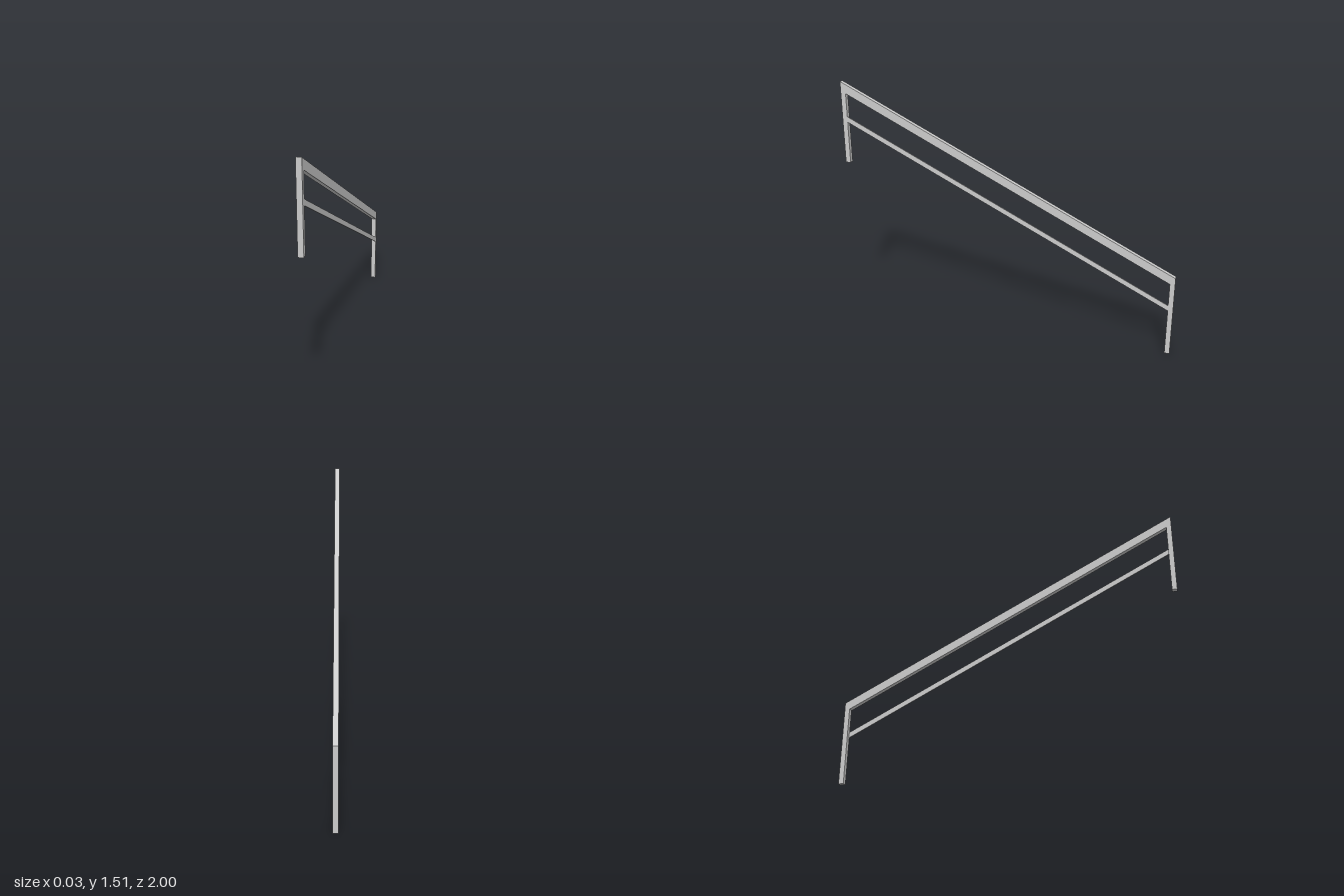
import * as THREE from 'three';

const SLOPE = 0.5075;
const HALF = 1;        // half length along z
const INNER = 0.97;    // inner face of the posts
const topY = (z) => 1.0025 + SLOPE * z; // upper edge of the handrail

const material = new THREE.MeshStandardMaterial({ color: 0xcccccc, flatShading: true });

// Extrudes a side profile of [z, y] points from x0 to x1
function sidePanel(name, points, x0, x1) {
  const shape = new THREE.Shape(points.map(([z, y]) => new THREE.Vector2(-z, y)));
  const geometry = new THREE.ExtrudeGeometry(shape, { depth: x1 - x0, bevelEnabled: false });
  geometry.rotateY(Math.PI / 2);
  geometry.translate(x0, 0, 0);
  const mesh = new THREE.Mesh(geometry, material);
  mesh.name = name;
  return mesh;
}

export function createModel() {
  const group = new THREE.Group();
  group.name = 'stairRailing';

  // Two posts joined by the sloping handrail in one continuous frame
  const railDepth = 0.055;
  const upperFoot = 1.017;
  group.add(sidePanel('postsAndHandrail', [
    [HALF, upperFoot],
    [HALF, topY(HALF)],
    [-HALF, topY(-HALF)],
    [-HALF, 0],
    [-INNER, 0],
    [-INNER, topY(-INNER) - railDepth],
    [INNER, topY(INNER) - railDepth],
    [INNER, upperFoot],
  ], -0.015, 0.015));

  // Thin lower rail, flush with the +x side of the posts
  const drop = 0.194;
  const thickness = 0.033;
  group.add(sidePanel('lowerRail', [
    [INNER, topY(INNER) - drop],
    [-INNER, topY(-INNER) - drop],
    [-INNER, topY(-INNER) - drop - thickness],
    [INNER, topY(INNER) - drop - thickness],
  ], 0.009, 0.015));

  return group;
}
